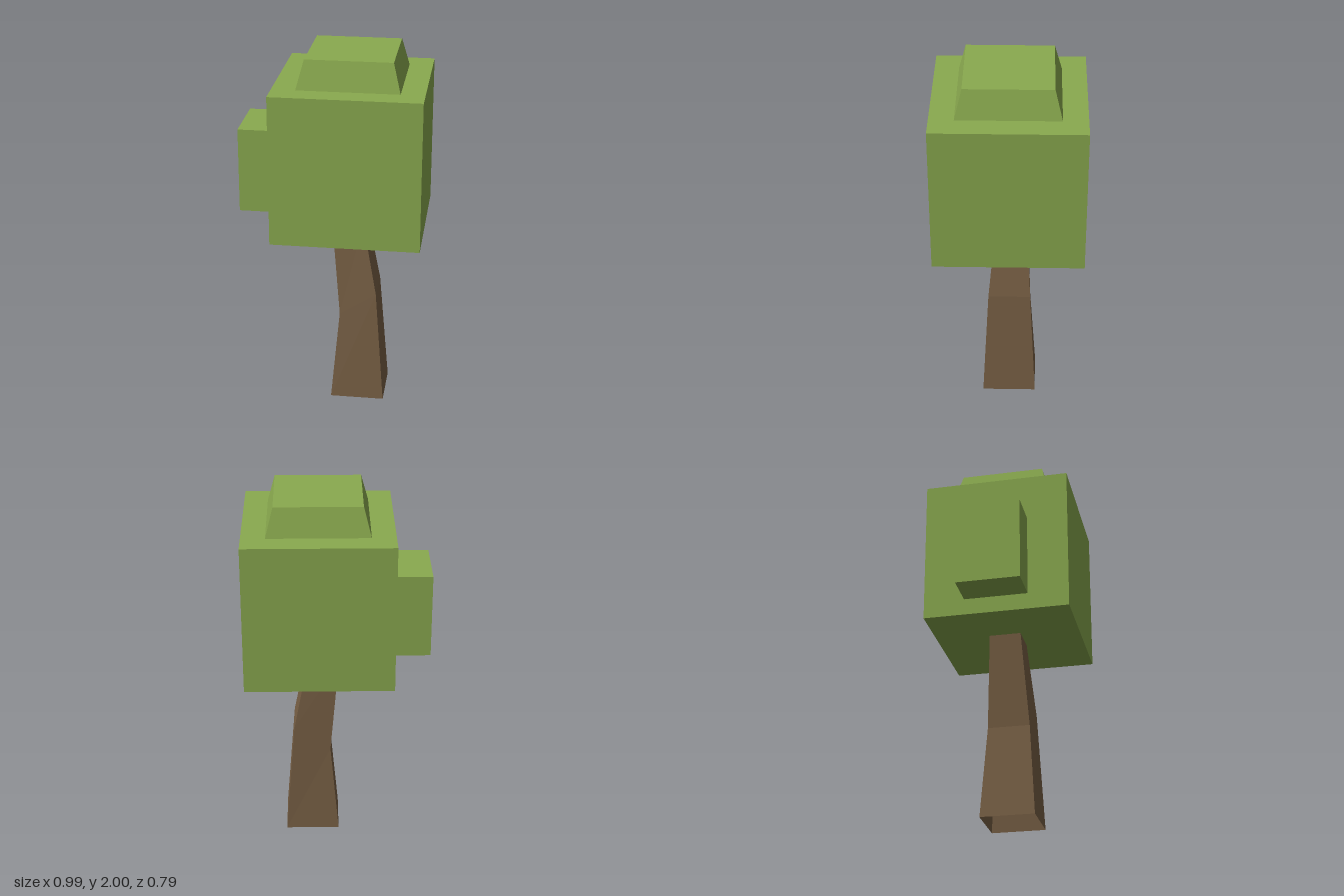
import * as THREE from 'three';

// Sweeps four-sided rings [[x, y, z] x 4] upwards into flat faces; optional top cap.
function loft(rings, capTop) {
  const pos = [];
  const quad = (a, b, c, d) => pos.push(...a, ...b, ...c, ...a, ...c, ...d);
  for (let r = 0; r < rings.length - 1; r++) {
    for (let i = 0; i < 4; i++) {
      const j = (i + 1) % 4;
      quad(rings[r][i], rings[r][j], rings[r + 1][j], rings[r + 1][i]);
    }
  }
  if (capTop) quad(...rings[rings.length - 1]);
  const geo = new THREE.BufferGeometry();
  geo.setAttribute('position', new THREE.Float32BufferAttribute(pos, 3));
  geo.computeVertexNormals();
  return geo;
}

// Rectangular ring, anticlockwise from above; left and right heights may differ.
function ring(x0, x1, z0, z1, yLeft, yRight = yLeft) {
  return [[x0, yLeft, z1], [x1, yRight, z1], [x1, yRight, z0], [x0, yLeft, z0]];
}

export function createModel() {
  const leaf = new THREE.MeshStandardMaterial({ color: 0x8aaa4f, flatShading: true });
  leaf.name = 'leaf green';
  const bark = new THREE.MeshStandardMaterial({ color: 0x786045, flatShading: true, side: THREE.DoubleSide });
  bark.name = 'bark brown';

  const tree = new THREE.Group();
  tree.name = 'tree';
  const add = (name, geo, mat, x = 0, y = 0, z = 0) => {
    const mesh = new THREE.Mesh(geo, mat);
    mesh.name = name;
    mesh.position.set(x, y, z);
    tree.add(mesh);
  };

  // Bent, tapering trunk, open at the base
  add('trunk', loft([
    ring(-0.005, 0.29, -0.15, 0.145, 0),
    ring(0.04, 0.24, -0.118, 0.112, 0.51, 0.64),
    ring(-0.007, 0.163, -0.1, 0.073, 1.045),
  ]), bark);

  // Main block of foliage and the small block on its right
  add('crown', new THREE.BoxGeometry(0.79, 0.81, 0.794), leaf, 0.099, 1.442, -0.002);
  add('sideFoliage', new THREE.BoxGeometry(0.25, 0.46, 0.348), leaf, -0.371, 1.358, -0.002);

  // Sloped cap on top
  add('topFoliage', loft([
    ring(-0.17, 0.368, -0.27, 0.267, 1.847),
    ring(-0.13, 0.328, -0.231, 0.228, 2),
  ], true), leaf);

  return tree;
}
